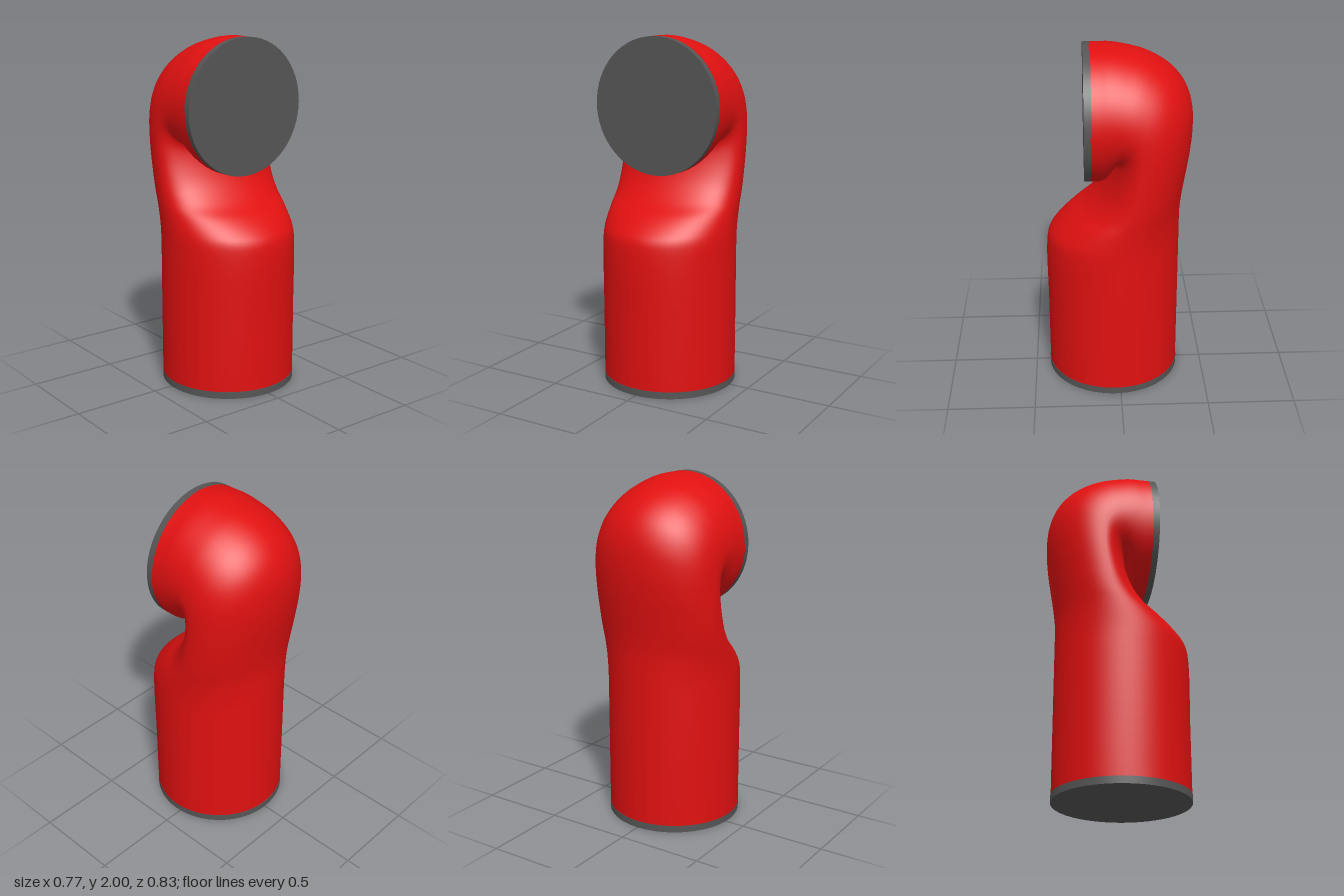
import * as THREE from 'three';

const R = 0.385;

// Cross-sections along the pipe: inner z, inner y, outer z, outer y, widest point (fraction from inner to outer)
const SECTIONS = [
  [0.415, 0.03, -0.35, 0.03, 0.5],
  [0.415, 0.45, -0.35, 0.45, 0.5],
  [0.415, 0.82, -0.35, 0.82, 0.5],
  [0.40, 0.90, -0.35, 0.90, 0.5],
  [0.36, 0.95, -0.35, 0.98, 0.5],
  [0.29, 1.01, -0.352, 1.06, 0.49],
  [0.20, 1.07, -0.36, 1.14, 0.46],
  [0.13, 1.14, -0.372, 1.22, 0.42],
  [0.09, 1.20, -0.385, 1.30, 0.39],
  [0.06, 1.27, -0.40, 1.40, 0.37],
  [0.045, 1.32, -0.412, 1.55, 0.36],
  [0.04, 1.345, -0.402, 1.68, 0.36],
  [0.04, 1.35, -0.36, 1.79, 0.38],
  [0.04, 1.345, -0.28, 1.88, 0.41],
  [0.05, 1.32, -0.16, 1.95, 0.45],
  [0.06, 1.28, -0.04, 1.985, 0.48],
  [0.08, 1.245, 0.05, 2.0, 0.5],
  [0.12, 1.23, 0.115, 2.0, 0.5],
  [0.16, 1.23, 0.16, 2.0, 0.5],
];

// Skin of the pipe: ovals swept between an inner and an outer profile curve
function pipeGeometry(rings = 90, sides = 64) {
  const curve = (f) => new THREE.CatmullRomCurve3(SECTIONS.map(f));
  const inner = curve((s) => new THREE.Vector3(0, s[1], s[0]));
  const outer = curve((s) => new THREE.Vector3(0, s[3], s[2]));
  const widest = curve((s) => new THREE.Vector3(0,
    THREE.MathUtils.lerp(s[1], s[3], s[4]), THREE.MathUtils.lerp(s[0], s[2], s[4])));
  const positions = [];
  const index = [];
  for (let i = 0; i <= rings; i++) {
    const t = i / rings;
    const a = inner.getPoint(t), b = outer.getPoint(t), m = widest.getPoint(t);
    for (let j = 0; j < sides; j++) {
      const angle = (j / sides) * Math.PI * 2;
      const c = Math.cos(angle);
      const p = m.clone().lerp(c > 0 ? a : b, Math.abs(c));
      positions.push(R * Math.sin(angle), p.y, p.z);
      if (i < rings) {
        const k = i * sides, n = (j + 1) % sides;
        index.push(k + j, k + n, k + sides + j, k + n, k + sides + n, k + sides + j);
      }
    }
  }
  const geometry = new THREE.BufferGeometry();
  geometry.setAttribute('position', new THREE.Float32BufferAttribute(positions, 3));
  geometry.setIndex(index);
  geometry.computeVertexNormals();
  return geometry;
}

export function createModel() {
  const group = new THREE.Group();
  const red = new THREE.MeshStandardMaterial({ color: 0xe01010, side: THREE.DoubleSide });
  const grey = new THREE.MeshStandardMaterial({ color: 0x555555 });

  const pipe = new THREE.Mesh(pipeGeometry(), red);
  pipe.name = 'bentPipe';
  group.add(pipe);

  // Flat discs closing both ends
  const disc = new THREE.CylinderGeometry(R, R, 0.04, 64);
  const base = new THREE.Mesh(disc, grey);
  base.name = 'baseDisc';
  base.position.set(0, 0.02, 0.0325);
  const face = new THREE.Mesh(disc, grey);
  face.name = 'mouthDisc';
  face.rotation.x = Math.PI / 2;
  face.position.set(0, 1.615, 0.175);
  group.add(base, face);
  return group;
}
